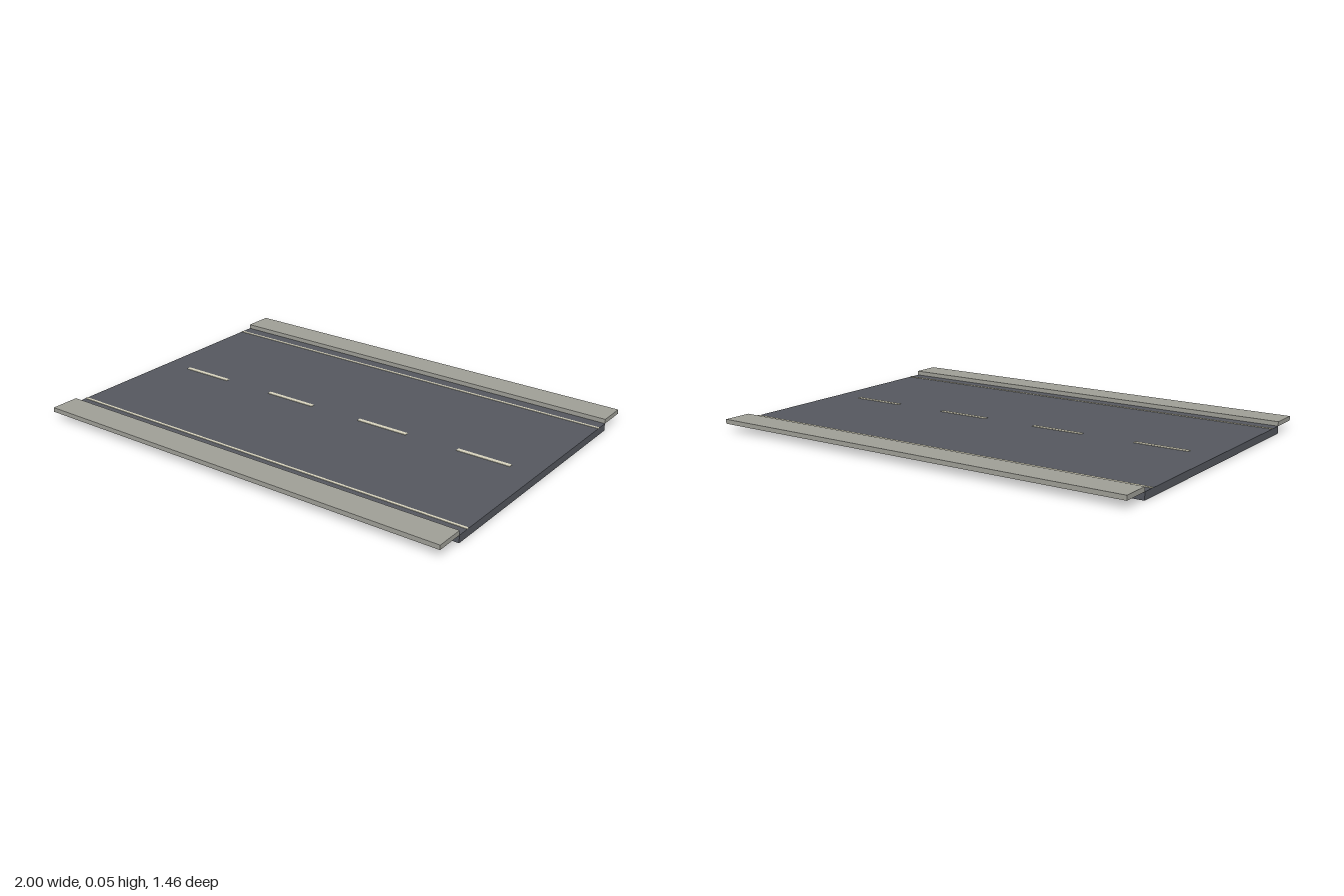
import * as THREE from 'three';

const LENGTH = 2;
const ROAD_TOP = 0.033;
const ROAD_HALF = 0.6;

function material(name, color) {
  const m = new THREE.MeshStandardMaterial({ color });
  m.name = name;
  return m;
}

export function createModel() {
  const group = new THREE.Group();
  group.name = 'roadSection';
  const asphalt = material('asphalt', 0x55585f);
  const concrete = material('concrete', 0x9f9f97);
  const paint = material('roadPaint', 0xd6d2bc);

  // Box resting on height y, centred on x and z
  const slab = (name, mat, [w, h, d], x, y, z) => {
    const mesh = new THREE.Mesh(new THREE.BoxGeometry(w, h, d), mat);
    mesh.name = name;
    mesh.position.set(x, y + h / 2, z);
    group.add(mesh);
  };

  // Road bed
  slab('roadBed', asphalt, [LENGTH, ROAD_TOP, ROAD_HALF * 2], 0, 0, 0);

  // Raised sidewalks and painted edge lines on both sides
  for (const [side, s] of [['front', 1], ['back', -1]]) {
    slab(side + 'Sidewalk', concrete, [LENGTH, 0.02, 0.13], 0, ROAD_TOP, s * (ROAD_HALF + 0.065));
    slab(side + 'EdgeLine', paint, [LENGTH, 0.002, 0.012], 0, ROAD_TOP, s * 0.54);
  }

  // Dashed centre line
  for (let i = 0; i < 4; i++) {
    slab('centreDash' + (i + 1), paint, [0.25, 0.002, 0.02], -0.75 + i * 0.5, ROAD_TOP, 0);
  }
  return group;
}
